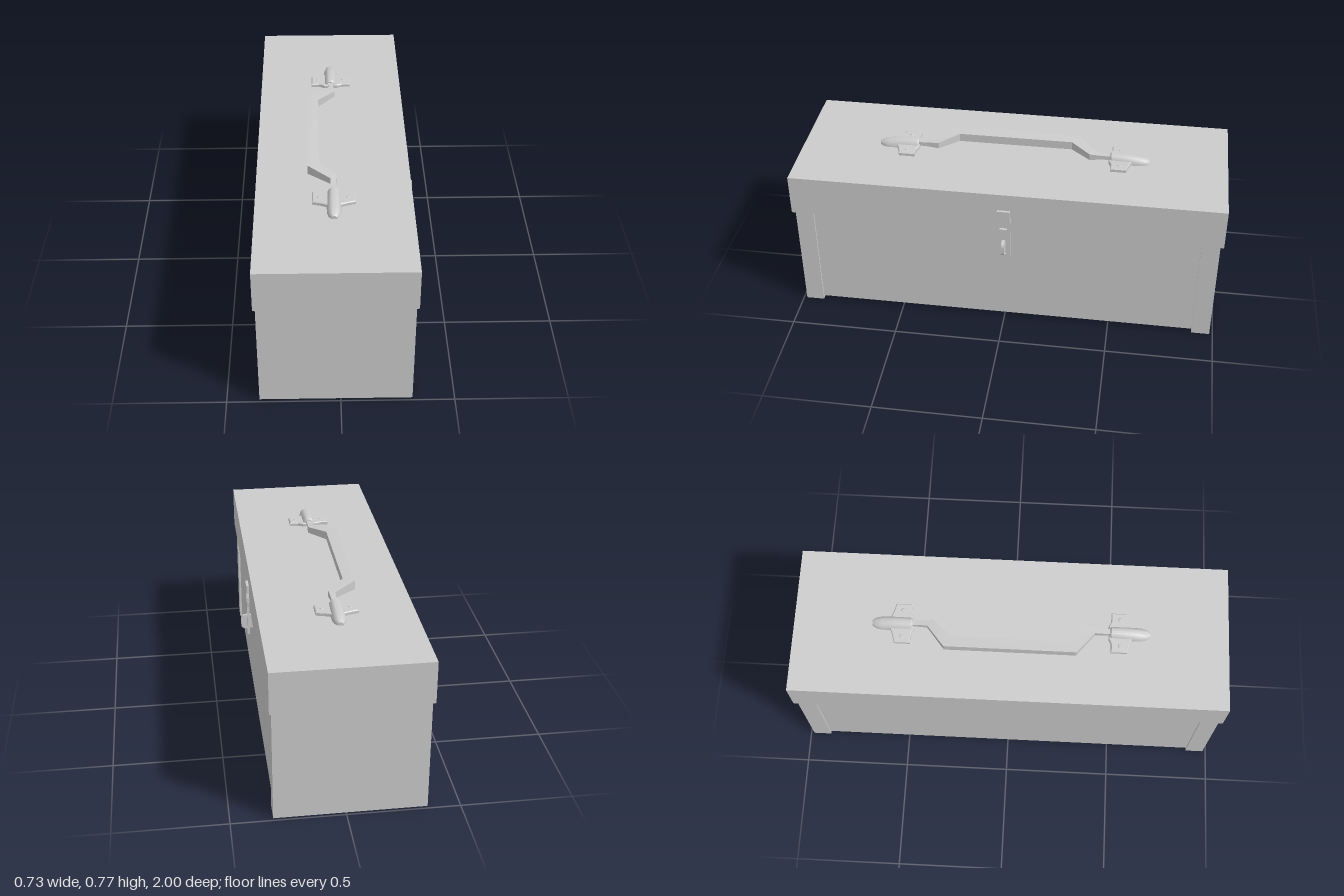
import * as THREE from 'three';
import { toCreasedNormals } from 'three/addons/utils/BufferGeometryUtils.js';

const metal = new THREE.MeshStandardMaterial({ color: 0xcccccc });

function add(parent, name, geometry, x = 0, y = 0, z = 0) {
  const mesh = new THREE.Mesh(geometry, metal);
  mesh.name = name;
  mesh.position.set(x, y, z);
  parent.add(mesh);
  return mesh;
}

// Box given by its limits on each axis
function box(parent, name, x0, x1, y0, y1, z0, z1) {
  return add(parent, name, new THREE.BoxGeometry(x1 - x0, y1 - y0, z1 - z0),
    (x0 + x1) / 2, (y0 + y1) / 2, (z0 + z1) / 2);
}

// Closed loft through rings of [x, y, z], anticlockwise seen from +z, running towards +z
function loft(rings, crease) {
  const n = rings[0].length, index = [], last = (rings.length - 1) * n;
  for (let i = 0; i < rings.length - 1; i++) {
    for (let j = 0; j < n; j++) {
      const a = i * n + j, b = i * n + (j + 1) % n;
      index.push(a, b, b + n, a, b + n, a + n);
    }
  }
  for (let j = 1; j < n - 1; j++) {
    index.push(0, j + 1, j, last, last + j, last + j + 1);
  }
  const g = new THREE.BufferGeometry();
  g.setAttribute('position', new THREE.Float32BufferAttribute(rings.flat(2), 3));
  g.setIndex(index);
  return toCreasedNormals(g, crease);
}

function polygon(points) {
  return new THREE.Shape(points.map(([x, y]) => new THREE.Vector2(x, y)));
}

// Domed mount with side wings and rivets, its outer end towards +z
function handleMount() {
  const mount = new THREE.Group();
  mount.name = 'handleMount';
  const sections = [ // z, half width, height
    [0.452, 0.022, 0.034], [0.46, 0.03, 0.04], [0.53, 0.032, 0.04],
    [0.595, 0.031, 0.031], [0.622, 0.025, 0.024], [0.638, 0.013, 0.015],
  ];
  add(mount, 'mountDome', loft(sections.map(([z, w, h]) => {
    const ring = [];
    for (let i = 0; i <= 10; i++) {
      const a = Math.PI * i / 10;
      ring.push([w * Math.cos(a), h * Math.sin(a), z]);
    }
    return ring;
  }), 0.6));
  // Tapered wings drawn in plan, then laid flat
  const half = [[0.03, 0.452], [0.055, 0.463], [0.091, 0.463], [0.091, 0.53], [0.055, 0.54], [0.03, 0.55]];
  const outline = [...half, ...half.map(([x, z]) => [-x, z]).reverse()];
  const wings = new THREE.ExtrudeGeometry(polygon(outline.map(([x, z]) => [x, -z])), {
    depth: 0.013, bevelEnabled: true, bevelSize: 0.004, bevelThickness: 0.004, bevelSegments: 1,
  });
  add(mount, 'mountWings', wings.rotateX(-Math.PI / 2));
  for (const s of [-1, 1]) {
    add(mount, 'rivet', new THREE.CylinderGeometry(0.007, 0.01, 0.004, 10), s * 0.064, 0.018, 0.5);
  }
  return mount;
}

export function createModel() {
  const model = new THREE.Group();
  model.name = 'toolbox';

  // Body panel with raised end caps that also act as feet
  box(model, 'body', -0.347, 0.305, 0.015, 0.54, -0.91, 0.91);
  box(model, 'endCap', -0.357, 0.315, 0, 0.535, 0.9, 0.985);
  box(model, 'endCap', -0.357, 0.315, 0, 0.535, -0.985, -0.9);
  box(model, 'lid', -0.367, 0.325, 0.53, 0.725, -1, 1);

  // Cranked carrying handle
  const path = [ // left x, left z, right x, right z, bottom, left top, right top
    [-0.013, 0.47, 0.013, 0.47, 0.009, 0.028, 0.028],
    [-0.012, 0.42, 0.012, 0.42, 0.008, 0.028, 0.028],
    [-0.013, 0.385, 0.017, 0.358, 0.004, 0.034, 0.034],
    [-0.115, 0.302, -0.063, 0.268, 0.002, 0.046, 0.042],
  ];
  const ring = ([x0, z0, x1, z1, low, top0, top1], s) =>
    [[x0, low, s * z0], [x1, low, s * z1], [x1, top1, s * z1], [x0, top0, s * z0]];
  const rings = [...path.map(p => ring(p, -1)), ...path.slice().reverse().map(p => ring(p, 1))];
  add(model, 'handle', loft(rings, 0.2), -0.022, 0.725, 0);

  for (const turn of [0, Math.PI]) {
    const mount = handleMount();
    mount.position.set(-0.022, 0.725, 0);
    mount.rotation.y = turn;
    model.add(mount);
  }

  // Latch: slotted hasp plate, raised window frame and turning staple
  const latch = new THREE.Group();
  latch.name = 'latch';
  model.add(latch);
  const hole = (w, y0, y1) => polygon([[-w, y0], [-w, y1], [w, y1], [w, y0]]);
  const plate = polygon([[-0.031, 0.385], [0.031, 0.385], [0.031, 0.53], [0.035, 0.55],
    [0.035, 0.58], [0.03, 0.6], [0.03, 0.64], [-0.03, 0.64], [-0.03, 0.6],
    [-0.035, 0.58], [-0.035, 0.55], [-0.031, 0.53]]);
  plate.holes.push(hole(0.018, 0.54, 0.595), hole(0.011, 0.4, 0.48));
  const plateGeometry = new THREE.ExtrudeGeometry(plate, { depth: 0.012, bevelEnabled: false });
  add(latch, 'haspPlate', plateGeometry.rotateY(Math.PI / 2), 0.325, 0, 0);

  const staple = new THREE.Shape();
  staple.moveTo(0.3, 0.405);
  staple.lineTo(0.347, 0.405);
  staple.quadraticCurveTo(0.365, 0.407, 0.365, 0.424);
  staple.lineTo(0.365, 0.456);
  staple.quadraticCurveTo(0.365, 0.473, 0.347, 0.475);
  staple.lineTo(0.3, 0.475);
  staple.closePath();
  const stapleGeometry = new THREE.ExtrudeGeometry(staple, { depth: 0.014, bevelEnabled: false, curveSegments: 6 });
  add(latch, 'staple', toCreasedNormals(stapleGeometry, 0.6), 0, 0, -0.007);
  return model;
}
